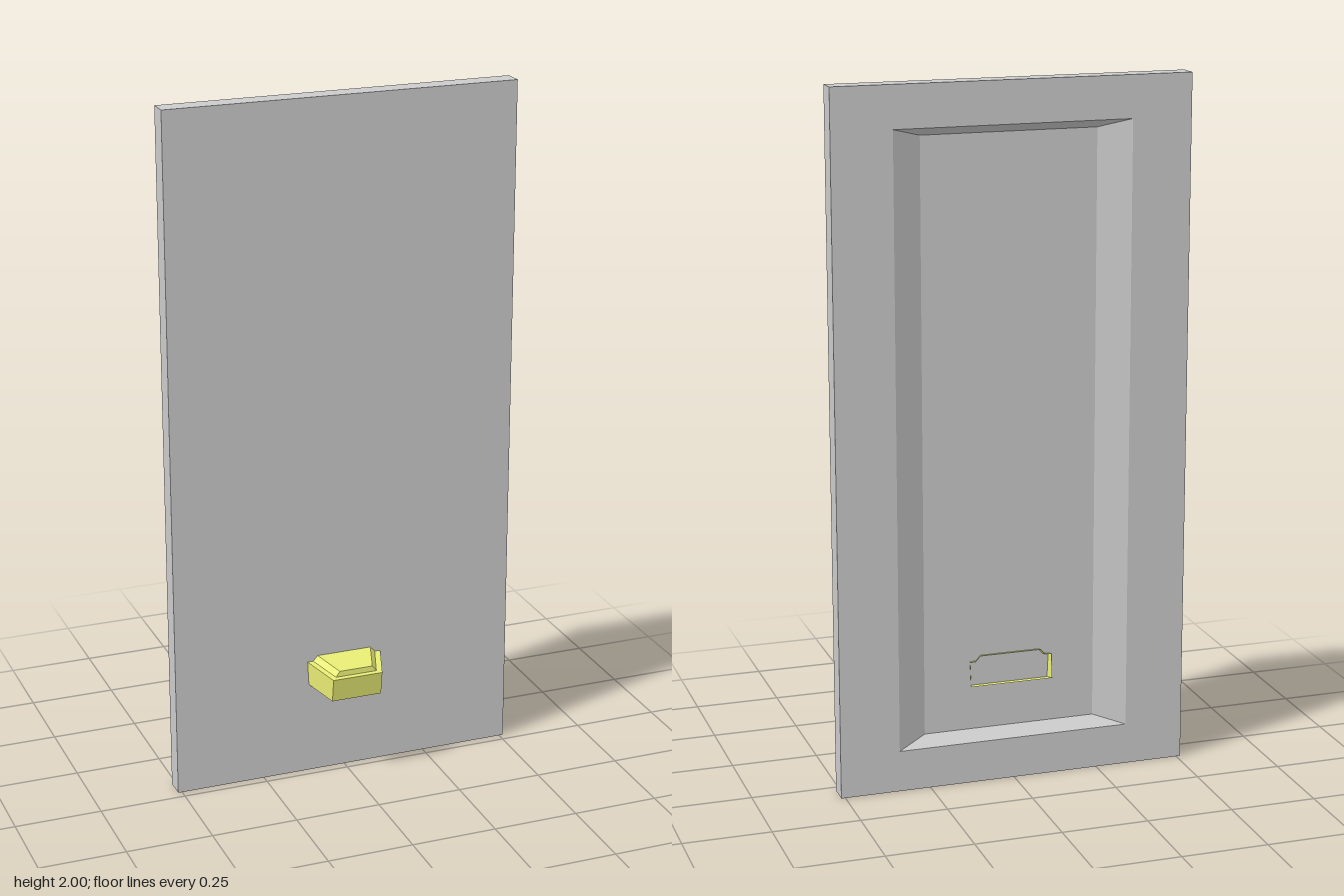
import * as THREE from 'three';

// Flat-shaded geometry from quads of [x, y, z] corners
function quadGeometry(quads) {
  const pos = [];
  for (const [a, b, c, d] of quads) pos.push(...a, ...b, ...c, ...a, ...c, ...d);
  const g = new THREE.BufferGeometry();
  g.setAttribute('position', new THREE.Float32BufferAttribute(pos, 3));
  g.computeVertexNormals();
  return g;
}

// Quads joining successive loops that have matching corners
function loft(loops) {
  const quads = [];
  for (let k = 0; k < loops.length - 1; k++) {
    const a = loops[k], b = loops[k + 1], n = a.length;
    for (let i = 0; i < n; i++) {
      const j = (i + 1) % n;
      quads.push([a[i], a[j], b[j], b[i]]);
    }
  }
  return quads;
}

const rect = (w, y0, y1, z) => [[-w, y0, z], [w, y0, z], [w, y1, z], [-w, y1, z]];

// Handle section: a box outline with a narrower bevelled ridge on top
function handleSection(w, ridgeW, topW, z, ridgeZ, topZ) {
  const h = 0.071, top = 0.0865;
  return [
    [-w, 0, z], [w, 0, z], [w, h, z], [ridgeW, h, ridgeZ],
    [topW, top, topZ], [-topW, top, topZ], [-ridgeW, h, ridgeZ], [-w, h, z],
  ];
}

export function createModel() {
  const model = new THREE.Group();
  model.name = 'panelWithHandle';

  // Door panel: plain front, bevelled recess in the back
  const loops = [
    rect(0.253, 0.145, 1.855, -0.04),
    rect(0.34, 0.12, 1.88, -0.085),
    rect(0.512, 0, 2, -0.085),
    rect(0.512, 0, 2, -0.026),
  ];
  const panel = new THREE.Mesh(
    quadGeometry([...loft(loops), loops[3], [...loops[0]].reverse()]),
    new THREE.MeshStandardMaterial({ color: 0xcccccc, flatShading: true }),
  );
  panel.name = 'panel';
  model.add(panel);

  // Handle: hollow tapered shell, open at the back where it passes through the panel
  const back = handleSection(0.122, 0.105, 0.09, -0.14, -0.14, -0.14);
  const front = handleSection(0.075, 0.062, 0.05, 0, -0.014, -0.018);
  const f = (...ids) => ids.map((i) => front[i]);
  const handle = new THREE.Mesh(
    quadGeometry([...loft([back, front]), f(0, 1, 2, 7), f(7, 2, 3, 6), f(6, 3, 4, 5)]),
    new THREE.MeshStandardMaterial({ color: 0xe8ec74, flatShading: true, side: THREE.DoubleSide }),
  );
  handle.name = 'handle';
  handle.position.set(0, 0.26, 0.075);
  handle.rotation.x = 0.142;
  model.add(handle);

  return model;
}
